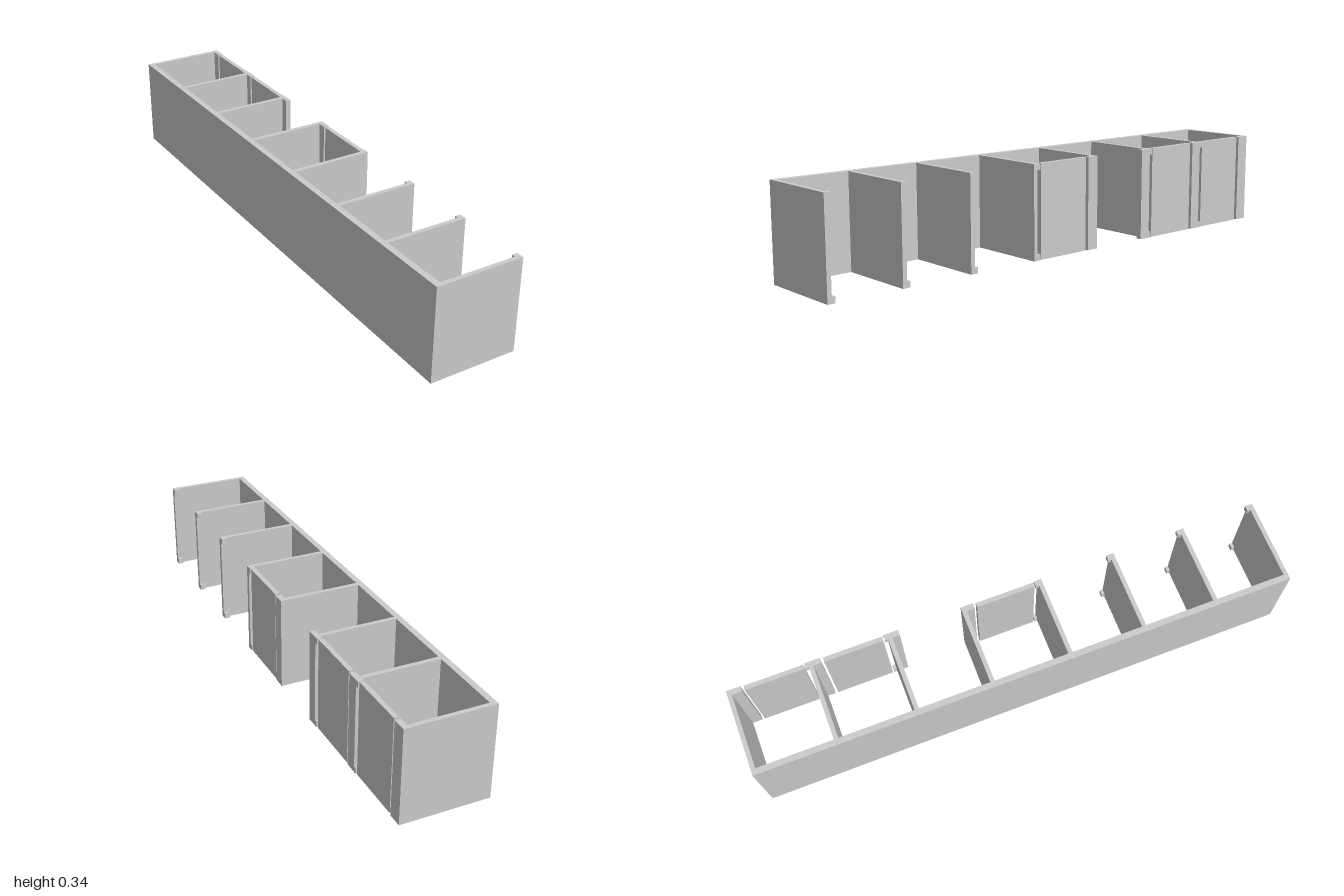
import * as THREE from 'three';

const H = 0.342;              // overall height
const X0 = -0.16, X1 = 0.16;  // back and front of the rack
const SPINE = 0.022;          // back panel thickness
const LIP = 0.02;             // thickness of doors, flanges and hooks
const WALL = 0.016;           // divider thickness

export function createModel() {
  const group = new THREE.Group();
  const material = new THREE.MeshStandardMaterial({ color: 0xcccccc, flatShading: true });

  // box given by its extents
  function box(name, xa, xb, ya, yb, za, zb) {
    const mesh = new THREE.Mesh(new THREE.BoxGeometry(xb - xa, yb - ya, zb - za), material);
    mesh.position.set((xa + xb) / 2, (ya + yb) / 2, (za + zb) / 2);
    mesh.name = name;
    group.add(mesh);
  }

  box('backPanel', X0, X0 + SPINE, 0, H, -1, 1);

  // dividers: z is the +z face; flange = z its front lip reaches towards +z;
  // hooks = small blocks at top and bottom reaching towards -z
  const dividers = [
    { z: 1, hooks: true },
    { z: 0.724, hooks: true },
    { z: 0.449, hooks: true },
    { z: 0.169, hooks: true },
    { z: -0.122, flange: -0.092 },
    { z: -0.4, flange: -0.372, hooks: true },
    { z: -0.69, flange: -0.661, hooks: true },
    { z: -0.984, flange: -0.948 },
  ];
  for (const { z, flange, hooks } of dividers) {
    const back = z - WALL;
    box('divider', X0 + SPINE, X1, 0, H, back, z);
    if (flange !== undefined) box('flange', X1 - LIP, X1, 0, H, z, flange);
    if (hooks) {
      box('lowerHook', X1 - LIP, X1, 0, 0.022, back - 0.012, back);
      box('upperHook', X1 - LIP, X1, H - 0.022, H, back - 0.012, back);
    }
  }

  // doors closing three of the bays, with narrow slits at both sides
  for (const [za, zb] of [[-0.082, 0.136], [-0.651, -0.433], [-0.938, -0.722]]) {
    box('door', X1 - LIP, X1 - 0.003, 0, H, za, zb);
  }
  return group;
}
